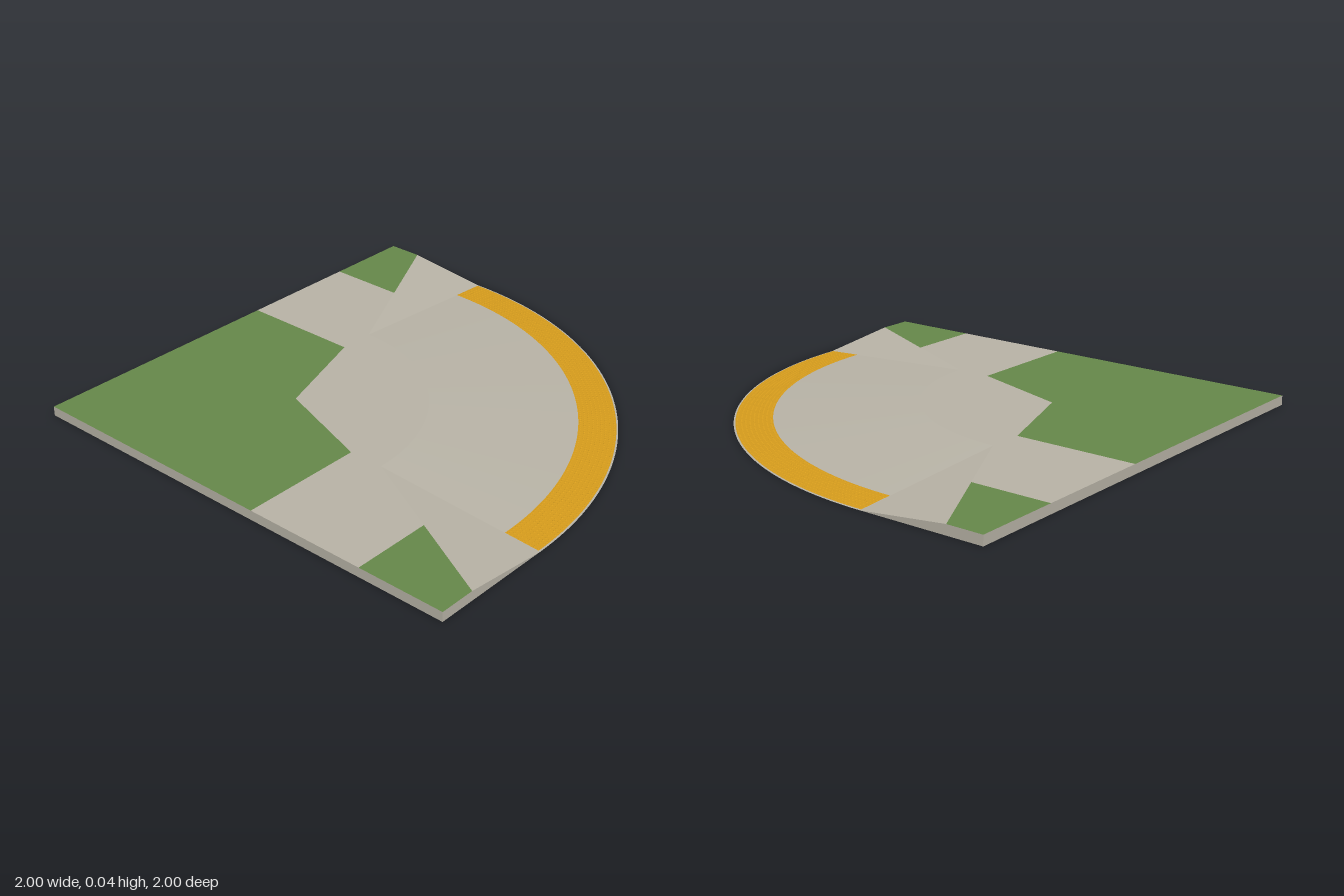
import * as THREE from 'three';
import { mergeGeometries } from 'three/addons/utils/BufferGeometryUtils.js';

const H = 0.04;            // kerb height
const C = -0.48;           // arc centre in x and z
const R_IN = 0.74, R_OUT = 1.48;

const material = (name, color) => {
  const m = new THREE.MeshStandardMaterial({ color, side: THREE.DoubleSide });
  m.name = name;
  return m;
};

// Ramp height at a given radius
const rampY = (r) => H * (R_OUT - r) / (R_OUT - R_IN);

// Quarter arc, swept from +z round to +x
function arc(r, y, n = 64) {
  return Array.from({ length: n + 1 }, (_, i) => {
    const a = (1 - i / n) * Math.PI / 2;
    return [C + r * Math.cos(a), y, C + r * Math.sin(a)];
  });
}

// Surface between two polylines; a single point in A makes a fan
function loft(A, B, flat = false) {
  const index = [], fan = A.length === 1;
  for (let i = 0; i < B.length - 1; i++) {
    const a = fan ? 0 : i, b = A.length + i;
    index.push(a, b, b + 1);
    if (!fan) index.push(a, b + 1, a + 1);
  }
  let g = new THREE.BufferGeometry();
  g.setAttribute('position', new THREE.Float32BufferAttribute([...A, ...B].flat(), 3));
  g.setIndex(index);
  if (flat) g = g.toNonIndexed();
  g.computeVertexNormals();
  return g;
}

// Level polygon at kerb height, given as [x, z] corners
function level(points) {
  const g = new THREE.ShapeGeometry(new THREE.Shape(points.map(([x, z]) => new THREE.Vector2(x, -z))));
  return g.rotateX(-Math.PI / 2).translate(0, H, 0);
}

export function createModel() {
  const model = new THREE.Group();
  model.name = 'cornerKerbRamp';
  const concrete = material('concrete', 0xb9b4a7);
  const grass = material('grass', 0x66884a);
  const yellow = material('tactileYellow', 0xd69c1c);
  const add = (name, geometry, mat) => {
    const mesh = new THREE.Mesh(geometry, mat);
    mesh.name = name;
    model.add(mesh);
  };
  const swap = (pts) => pts.map(([x, z]) => [z, x]);

  // Pavement: two paths meeting at the landing
  const innerArc = arc(R_IN, H).map(([x, , z]) => [x, z]);
  add('pavement', level([
    [0.11, -1], [0.63, -1], [0.63, -0.665],
    ...innerArc.slice().reverse(),
    [-0.665, 0.63], [-1, 0.63], [-1, 0.11], [C, 0.11], [-0.33, -0.33], [0.11, C],
  ]), concrete);

  // Lawns
  add('mainLawn', level([[-1, -1], [0.11, -1], [0.11, C], [-0.33, -0.33], [C, 0.11], [-1, 0.11]]), grass);
  const smallLawn = [[0.63, -1], [1, -1], [1, -0.85], [0.63, -0.665]];
  add('backLawn', level(smallLawn), grass);
  add('sideLawn', level(swap(smallLawn)), grass);

  // Curved ramp and its two flared sides
  add('ramp', loft(arc(R_IN, H), arc(R_OUT, 0)), concrete);
  add('backFlare', loft([[0.26, H, C]], [[1, 0, C], [1, H, -0.85]]), concrete);
  add('sideFlare', loft([[C, H, 0.26]], [[-0.85, H, 1], [C, 0, 1]]), concrete);

  // Kerb walls, tapering to nothing at the flares
  const rim = [[1, 0, C], [1, H, -0.85], [1, H, -1], [-1, H, -1], [-1, H, 1], [-0.85, H, 1], [C, 0, 1]];
  add('kerbWalls', loft(rim, rim.map(([x, , z]) => [x, 0, z]), true), concrete);

  // Tactile strip laid on the ramp
  const lift = 0.001, r0 = 1.325, r1 = 1.473;
  add('tactileStrip', loft(arc(r0, rampY(r0) + lift), arc(r1, rampY(r1) + lift)), yellow);

  // Rows of small truncated domes
  const domes = [], rows = 9, columns = 132;
  const dome = new THREE.CylinderGeometry(0.003, 0.0052, 0.0015, 8, 1);
  for (let i = 0; i < rows; i++) {
    const r = r0 + (i + 0.5) * (r1 - r0) / rows;
    for (let j = 0; j < columns; j++) {
      const a = (j + 0.5) / columns * Math.PI / 2;
      domes.push(dome.clone().rotateY(-a)
        .translate(C + r * Math.cos(a), rampY(r) + lift + 0.0007, C + r * Math.sin(a)));
    }
  }
  add('tactileDomes', mergeGeometries(domes), yellow);
  return model;
}
